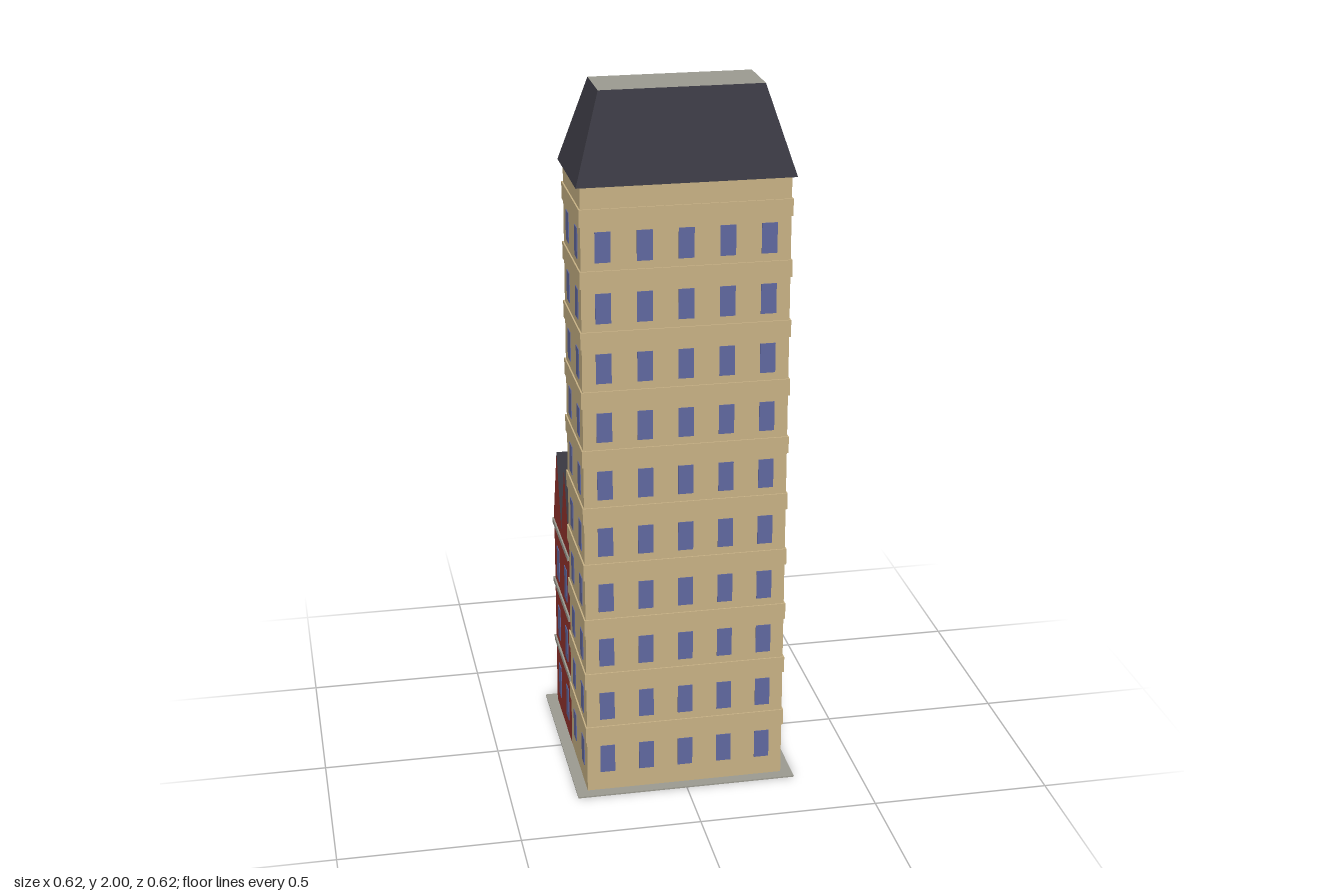
import * as THREE from 'three';

const mat = (name, color) => {
  const m = new THREE.MeshStandardMaterial({ color });
  m.name = name;
  return m;
};

export function createModel() {
  const model = new THREE.Group();
  model.name = 'towerBuilding';
  const sand = mat('sandstone', 0xc8b285);
  const brick = mat('redBrick', 0x94332c);
  const slate = mat('slate', 0x3a3942);
  const stone = mat('greyStone', 0x9c9b91);
  const glass = mat('blueGlass', 0x6068a0);

  const add = (name, geometry, material, parent = model) => {
    const mesh = new THREE.Mesh(geometry, material);
    mesh.name = name;
    parent.add(mesh);
    return mesh;
  };
  // Box given by its extents along each axis
  const box = (name, x0, x1, y0, y1, z0, z1, material, parent) => {
    const mesh = add(name, new THREE.BoxGeometry(x1 - x0, y1 - y0, z1 - z0), material, parent);
    mesh.position.set((x0 + x1) / 2, (y0 + y1) / 2, (z0 + z1) / 2);
    return mesh;
  };

  const HALF = 0.28, W = 0.021, T = 0.002;
  const columns = [-0.222, -0.111, 0, 0.111, 0.222];

  // Rows of window plates on walls facing along z and x
  const windowsZ = (parent, z, y0, y1) => columns.forEach((x) =>
    box('window', x - W, x + W, y0, y1, z - T, z + T, glass, parent));
  const windowsX = (parent, zs, y0, y1) => [-HALF, HALF].forEach((x) => zs.forEach((z) =>
    box('window', x - T, x + T, y0, y1, z - W, z + W, glass, parent)));

  // Ground plate
  box('groundPlate', -0.312, 0.312, 0, 0.004, -0.312, 0.312, stone);

  // Tall tower with a slightly projecting band between storeys
  const tower = new THREE.Group();
  tower.name = 'tower';
  model.add(tower);
  box('towerWalls', -HALF, HALF, 0.002, 1.77, 0, HALF, sand, tower);
  for (let i = 0; i < 10; i++) {
    const y = i * 0.1667;
    windowsZ(tower, HALF, y + 0.06, y + 0.143);
    if (y > 0.6) windowsZ(tower, 0, y + 0.06, y + 0.143);
    windowsX(tower, [0.071, 0.213], y + 0.06, y + 0.143);
    box('storeyBand', -0.284, 0.284, y + 0.158, y + 0.205, -0.004, 0.284, sand, tower);
  }

  // Sloped tower roof with a flat grey top
  const roof = new THREE.BoxGeometry(0.584, 0.235, 0.304);
  const p = roof.attributes.position;
  for (let i = 0; i < p.count; i++) {
    if (p.getY(i) > 0) {
      p.setX(i, Math.sign(p.getX(i)) * 0.22);
      p.setZ(i, Math.sign(p.getZ(i)) * 0.08);
    }
  }
  roof.computeVertexNormals();
  add('towerRoof', roof, [slate, slate, stone, slate, slate, slate], tower)
    .position.set(0, 1.8825, 0.14);

  // Low brick wing behind the tower
  const wing = new THREE.Group();
  wing.name = 'brickWing';
  model.add(wing);
  box('wingWalls', -HALF, HALF, 0.002, 0.61, -HALF, -0.001, brick, wing);
  for (let i = 0; i < 3; i++) {
    const y = i * 0.1925;
    windowsZ(wing, -HALF, y + 0.053, y + 0.153);
    windowsX(wing, [-0.067, -0.208], y + 0.053, y + 0.153);
    box('ledge', -0.285, 0.285, y + 0.205, y + 0.22, -0.285, -0.001, stone, wing);
  }

  // Twin gabled roof: brick ends, slate slopes
  const gable = new THREE.Shape([
    [-0.288, 0.605], [0.004, 0.605], [0.004, 0.63], [-0.07, 0.842],
    [-0.14, 0.628], [-0.21, 0.842],
  ].map(([z, y]) => new THREE.Vector2(z, y)));
  const gableGeometry = new THREE.ExtrudeGeometry(gable, { depth: 0.561, bevelEnabled: false });
  gableGeometry.translate(0, 0, -0.2805).rotateY(-Math.PI / 2);
  add('twinGableRoof', gableGeometry, [brick, slate], wing);

  return model;
}
